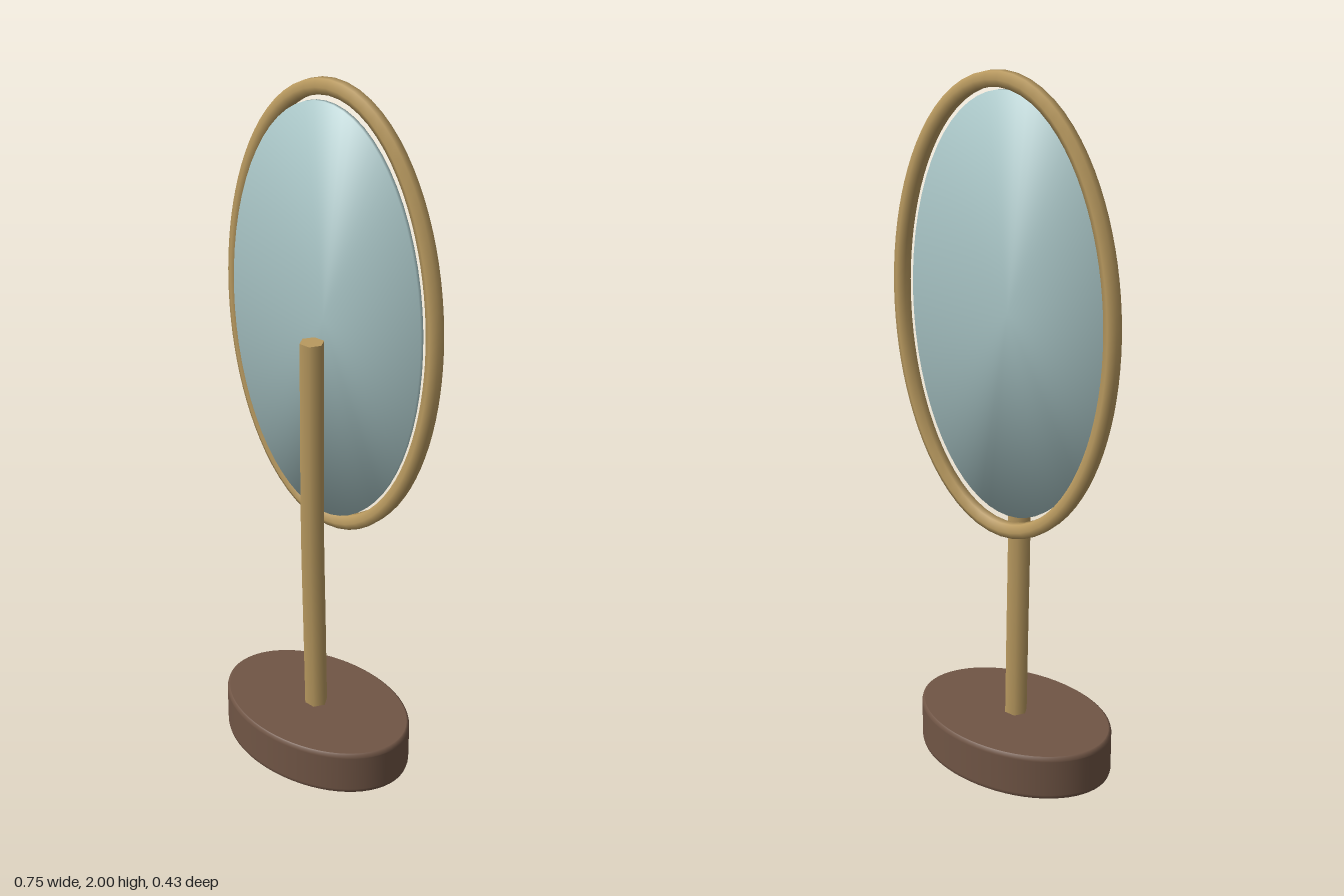
import * as THREE from 'three';

const V = (x, y, z) => new THREE.Vector3(x, y, z);

export function createModel() {
  const model = new THREE.Group();
  model.name = 'tableMirror';

  const material = (name, color) => {
    const m = new THREE.MeshStandardMaterial({ color });
    m.name = name;
    return m;
  };
  const brass = material('brass', 0xb8995f);
  const wood = material('brown wood', 0x705545);
  const glass = material('mirror glass', 0xa8c4c5);

  const add = (name, geometry, mat, parent = model) => {
    const mesh = new THREE.Mesh(geometry, mat);
    mesh.name = name;
    parent.add(mesh);
    return mesh;
  };

  // Oval base: a disc with softly rounded rims, stretched sideways
  const profile = [
    [0, 0], [0.97, 0], [0.975, 0], [0.992, 0.003], [1, 0.011], [1, 0.014],
    [1, 0.123], [1, 0.126], [0.992, 0.134], [0.975, 0.137], [0.97, 0.137], [0, 0.137],
  ].map(([r, y]) => new THREE.Vector2(r, y));
  const base = new THREE.LatheGeometry(profile, 64);
  base.scale(0.311, 1, 0.214);
  add('base', base, wood);

  // Six-sided post, leaning forward before it rises straight
  const post = new THREE.Group();
  post.name = 'post';
  model.add(post);
  const postPath = new THREE.CatmullRomCurve3([
    V(0, 0.12, 0.003), V(0, 0.4, 0.01), V(0, 0.7, 0.018), V(0, 0.95, 0.02), V(0, 1.31, 0.02),
  ]);
  add('postShaft', new THREE.TubeGeometry(postPath, 24, 0.034, 6), brass, post);
  const cap = add('postTop', new THREE.CircleGeometry(0.034, 6), brass, post);
  cap.rotation.x = -Math.PI / 2;
  cap.position.set(0, 1.31, 0.02);

  // Oval mirror head
  const head = new THREE.Group();
  head.name = 'mirrorHead';
  head.position.y = 1.362;
  model.add(head);

  // Six-sided frame ring
  const ovalPoints = Array.from({ length: 32 }, (_, i) => {
    const a = (i / 32) * Math.PI * 2;
    return V(0.354 * Math.cos(a), 0.617 * Math.sin(a), -0.054);
  });
  const oval = new THREE.CatmullRomCurve3(ovalPoints, true);
  add('frame', new THREE.TubeGeometry(oval, 80, 0.0235, 6, true), brass, head);

  // Thin glass plate, its normals fanned outward for a softly domed sheen
  const plate = new THREE.CylinderGeometry(1, 1, 0.011, 64);
  plate.rotateX(Math.PI / 2);
  plate.scale(0.333, 0.586, 1);
  const p = plate.attributes.position;
  for (let i = 0; i < p.count; i++) {
    const n = V(p.getX(i) / 0.333 ** 2, p.getY(i) / 0.586 ** 2, 0);
    if (n.lengthSq() > 1e-6) n.normalize();
    n.z = Math.sign(p.getZ(i));
    n.normalize();
    plate.attributes.normal.setXYZ(i, n.x, n.y, n.z);
  }
  add('mirrorGlass', plate, glass, head).position.z = -0.0285;

  return model;
}
